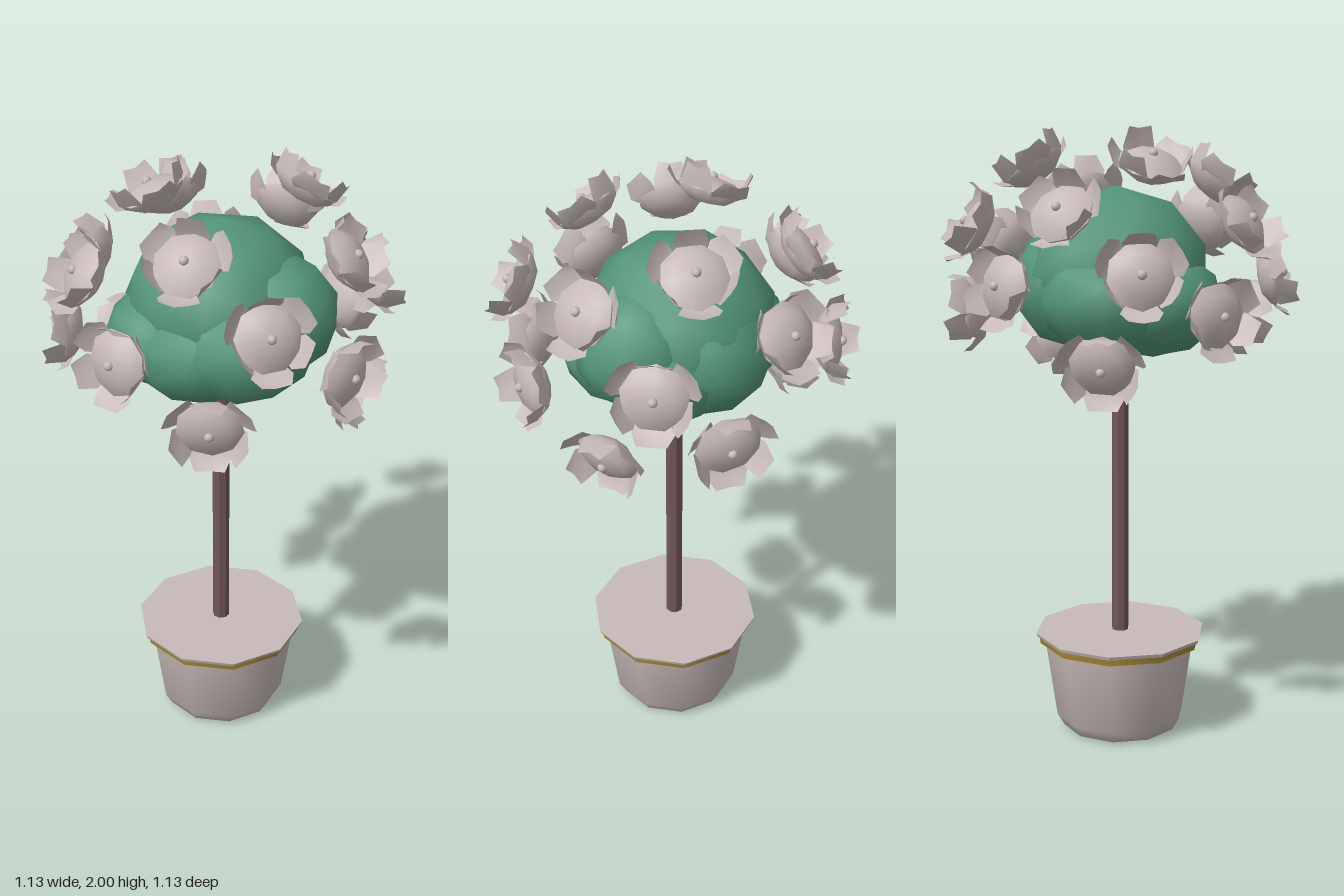
import * as THREE from 'three';
import { mergeVertices, toCreasedNormals } from 'three/addons/utils/BufferGeometryUtils.js';

const material = (name, color, side = THREE.FrontSide) => {
  const m = new THREE.MeshStandardMaterial({ color, side });
  m.name = name;
  return m;
};

const lathe = (points, sides, crease) => toCreasedNormals(
  new THREE.LatheGeometry(points.map(([r, y]) => new THREE.Vector2(r, y)), sides, Math.PI / 2), crease);

// Petal: a small sheet that widens, curls away from the flower's base and ends in a point
function petalGeometry(tipRadius, tipHeight, width) {
  const g = new THREE.PlaneGeometry(2, 1, 2, 2);
  const p = g.attributes.position;
  const halfWidth = [0.7 * width, width, 0.7 * width];
  for (let i = 0; i < p.count; i++) {
    const u = p.getX(i), v = p.getY(i) + 0.5;
    const row = Math.round(v * 2);
    const point = row === 2 && Math.abs(u) < 0.1 ? 0.006 : 0;
    const r = THREE.MathUtils.lerp(0.08, tipRadius, v) + point;
    const y = -0.015 + (tipHeight + 0.015) * v * v + 0.01 * Math.abs(u) * v;
    p.setXYZ(i, u * halfWidth[row], y, r);
  }
  g.computeVertexNormals();
  return g;
}

export function createModel() {
  const stone = material('pale grey', 0xc6bab7, THREE.DoubleSide);
  const gold = material('gold', 0xa58634);
  const bark = material('bark brown', 0x70565a);
  const leaf = material('leaf green', 0x54967a);

  const model = new THREE.Group();
  model.name = 'pottedFlowerTree';
  const add = (parent, name, geometry, mat, x = 0, y = 0, z = 0) => {
    const mesh = new THREE.Mesh(geometry, mat);
    mesh.name = name;
    mesh.position.set(x, y, z);
    parent.add(mesh);
    return mesh;
  };

  // Ten-sided pot with a gold band under a thin flat rim
  const standX = 0.006;
  add(model, 'pot', lathe([[0, 0], [0.178, 0], [0.192, 0.006], [0.215, 0.045], [0.25, 0.285], [0.252, 0.3]], 10, 0.9), stone, standX);
  add(model, 'goldBand', lathe([[0.25, 0.298], [0.27, 0.3], [0.273, 0.322], [0.25, 0.325]], 10, 0.7), gold, standX);
  add(model, 'potRimAndTop', lathe([[0.25, 0.323], [0.28, 0.323], [0.284, 0.335], [0, 0.335]], 10, 0.5), stone, standX);

  // Trunk
  const trunk = toCreasedNormals(new THREE.CylinderGeometry(0.028, 0.028, 1.07, 8), 0.5);
  add(model, 'trunk', trunk, bark, standX, 0.865, 0);

  // Foliage: overlapping squashed low-poly blobs
  const ball = new THREE.IcosahedronGeometry(1, 1);
  ball.deleteAttribute('uv');
  ball.deleteAttribute('normal');
  const blobGeometry = mergeVertices(ball);
  blobGeometry.computeVertexNormals();
  const foliage = new THREE.Group();
  foliage.name = 'foliage';
  model.add(foliage);
  // x, y, z, horizontal radius, vertical radius
  const blobs = [
    [0.0, 1.54, -0.02, 0.3, 0.27],
    [0.185, 1.53, 0.03, 0.195, 0.19],
    [0.09, 1.47, 0.1, 0.23, 0.19],
    [-0.13, 1.45, 0.05, 0.22, 0.17],
    [-0.05, 1.44, 0.09, 0.22, 0.18],
    [0.05, 1.5, -0.13, 0.21, 0.21],
    [-0.1, 1.47, -0.1, 0.22, 0.18],
    [0.16, 1.46, -0.05, 0.19, 0.17],
    [0.01, 1.42, 0.0, 0.21, 0.17],
  ];
  blobs.forEach(([x, y, z, r, h], i) => {
    const blob = add(foliage, 'leafBlob', blobGeometry, leaf, x, y, z);
    blob.scale.set(r, h, r);
    blob.rotation.y = i * 1.3;
  });

  // Flower parts, facing +y
  const dome = lathe([[0, -0.045], [0.06, -0.038], [0.097, -0.012], [0.103, 0.002], [0.07, 0.026], [0, 0.04]], 9, 0.8);
  const bud = new THREE.IcosahedronGeometry(0.015, 1);
  const flaredPetal = petalGeometry(0.134, 0.03, 0.064);
  const cuppedPetal = petalGeometry(0.112, 0.062, 0.054);

  // Flowers float around the foliage, each facing away from its centre
  const centre = new THREE.Vector3(0, 1.45, 0);
  const up = new THREE.Vector3(0, 1, 0);
  const flowers = [
    [-0.205, 1.885, -0.01], [-0.215, 1.75, -0.32], [0.235, 1.86, -0.19],
    [0.4, 1.75, 0.08], [-0.04, 1.81, 0.325], [-0.37, 1.71, 0.22],
    [-0.445, 1.58, -0.18], [-0.12, 1.53, -0.465], [0.145, 1.69, -0.44],
    [0.34, 1.4, -0.36], [0.455, 1.58, -0.18], [0.42, 1.28, 0.0],
    [0.42, 1.46, 0.26], [0.21, 1.65, 0.425], [-0.23, 1.53, 0.42],
    [0.05, 1.365, 0.47], [-0.465, 1.45, 0.07], [-0.32, 1.3, -0.24],
  ];
  flowers.forEach((at) => {
    const flower = new THREE.Group();
    flower.name = 'flower';
    flower.position.set(...at);
    const axis = flower.position.clone().sub(centre).normalize();
    flower.quaternion.setFromUnitVectors(up, axis);
    add(flower, 'flowerDome', dome, stone);
    add(flower, 'flowerBud', bud, stone, 0, 0.038, 0);
    // First petal hangs lowest; flared and cupped petals alternate
    const lowest = Math.atan2(axis.x, axis.z);
    for (let k = 0; k < 6; k++) {
      const petal = add(flower, 'petal', k % 2 ? cuppedPetal : flaredPetal, stone);
      petal.rotation.y = lowest + (k * Math.PI) / 3;
    }
    model.add(flower);
  });

  return model;
}
